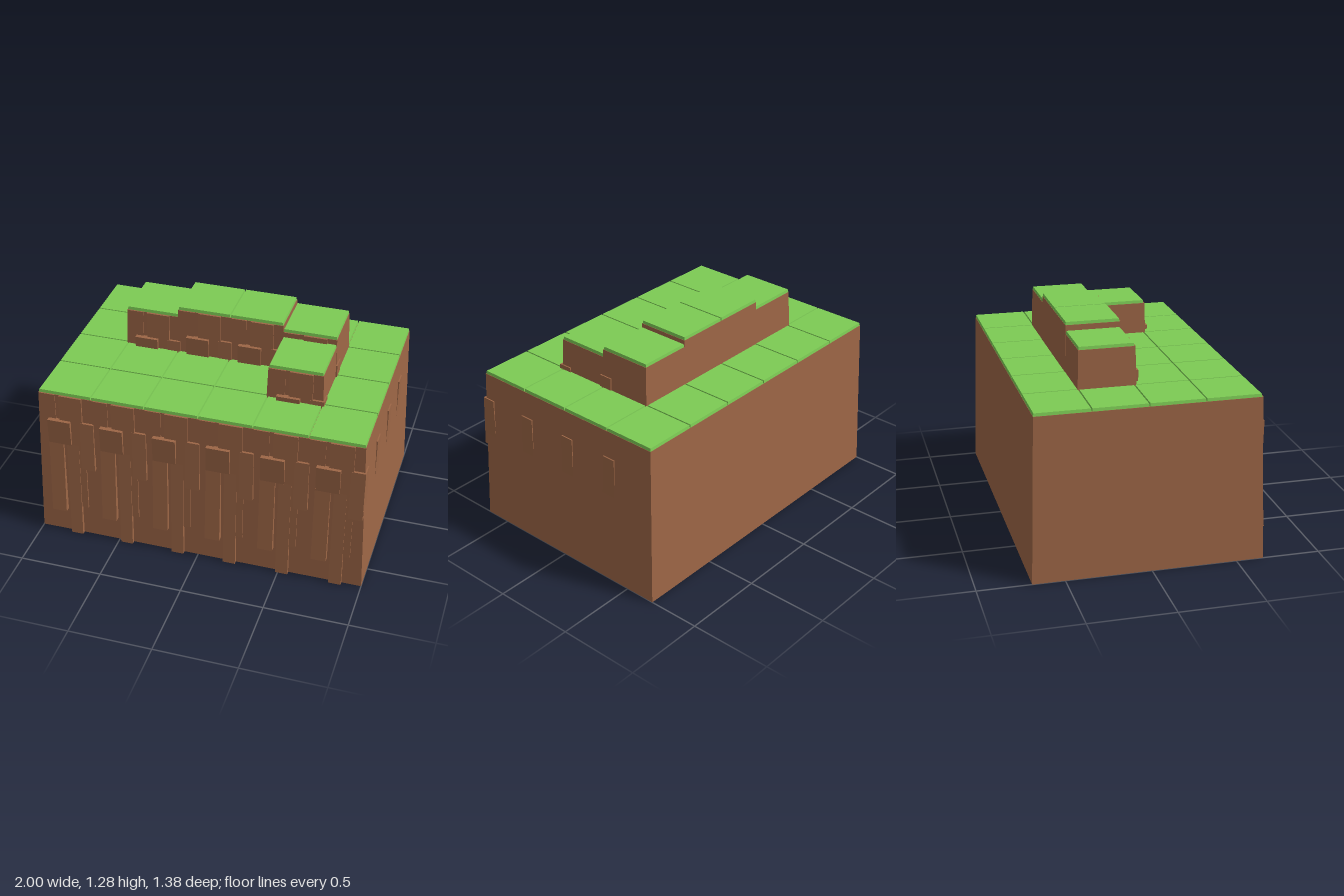
import * as THREE from 'three';

// Box whose lower and upper ends have their own x and z ranges: [x0, x1, z0, z1]
function taperedBox(y0, y1, low, high) {
  const geo = new THREE.BoxGeometry(1, 1, 1);
  const p = geo.attributes.position;
  for (let i = 0; i < p.count; i++) {
    const up = p.getY(i) > 0;
    const r = up ? high : low;
    p.setXYZ(i, p.getX(i) < 0 ? r[0] : r[1], up ? y1 : y0, p.getZ(i) < 0 ? r[2] : r[3]);
  }
  geo.computeVertexNormals();
  return geo;
}

export function createModel() {
  const dirt = new THREE.MeshStandardMaterial({ color: 0x9d6646 });
  dirt.name = 'dirt brown';
  const grass = new THREE.MeshStandardMaterial({ color: 0x7ccb54 });
  grass.name = 'grass green';

  // One column of earth: sloping core and a thin turf slab
  const coreGeo = taperedBox(0, 0.972, [-0.193, 0.193, -0.19, 0.19], [-0.162, 0.162, -0.161, 0.163]);
  const turfGeo = taperedBox(0.97, 0.99, [-0.16, 0.16, -0.16, 0.16], [-0.157, 0.157, -0.157, 0.157]);

  // Overlapping rock slabs on the front: x0, x1, yTop, yBottom, zTop, zBottom
  const slabs = [
    [-0.035, 0.105, 0.972, 0.65, 0.173, 0.187],
    [-0.155, -0.06, 0.972, 0.6, 0.168, 0.18],
    [-0.105, 0.035, 0.81, 0.65, 0.2, 0.197],
    [0.09, 0.175, 0.81, 0.49, 0.182, 0.199],
    [-0.11, -0.02, 0.65, 0.16, 0.184, 0.22],
    [0, 0.075, 0.65, 0, 0.18, 0.214],
    [0.045, 0.115, 0.65, 0.2, 0.178, 0.195],
  ];
  const slabGeos = slabs.map(([x0, x1, yT, yB, zT, zB]) =>
    taperedBox(yB, yT, [x0, x1, 0.1, zB], [x0, x1, 0.1, zT]));

  // Raised columns form the L-shaped ridge, keyed by row and column
  const lifts = { '1,1': 0.245, '1,2': 0.295, '1,3': 0.295, '1,4': 0.255, '2,4': 0.207 };

  const model = new THREE.Group();
  model.name = 'grassyCliff';
  for (let row = 0; row < 4; row++) {
    for (let col = 0; col < 6; col++) {
      const column = new THREE.Group();
      const lift = lifts[`${row},${col}`] || 0;
      column.name = lift ? 'raisedColumn' : 'groundColumn';
      column.position.set((col - 2.5) * 0.323, lift, -0.498 + row * 0.3227);
      const add = (geo, mat, name) => {
        const mesh = new THREE.Mesh(geo, mat);
        mesh.name = name;
        column.add(mesh);
      };
      add(coreGeo, dirt, 'earthCore');
      add(turfGeo, grass, 'turf');
      slabGeos.forEach((geo) => add(geo, dirt, 'rockSlab'));
      model.add(column);
    }
  }
  return model;
}
